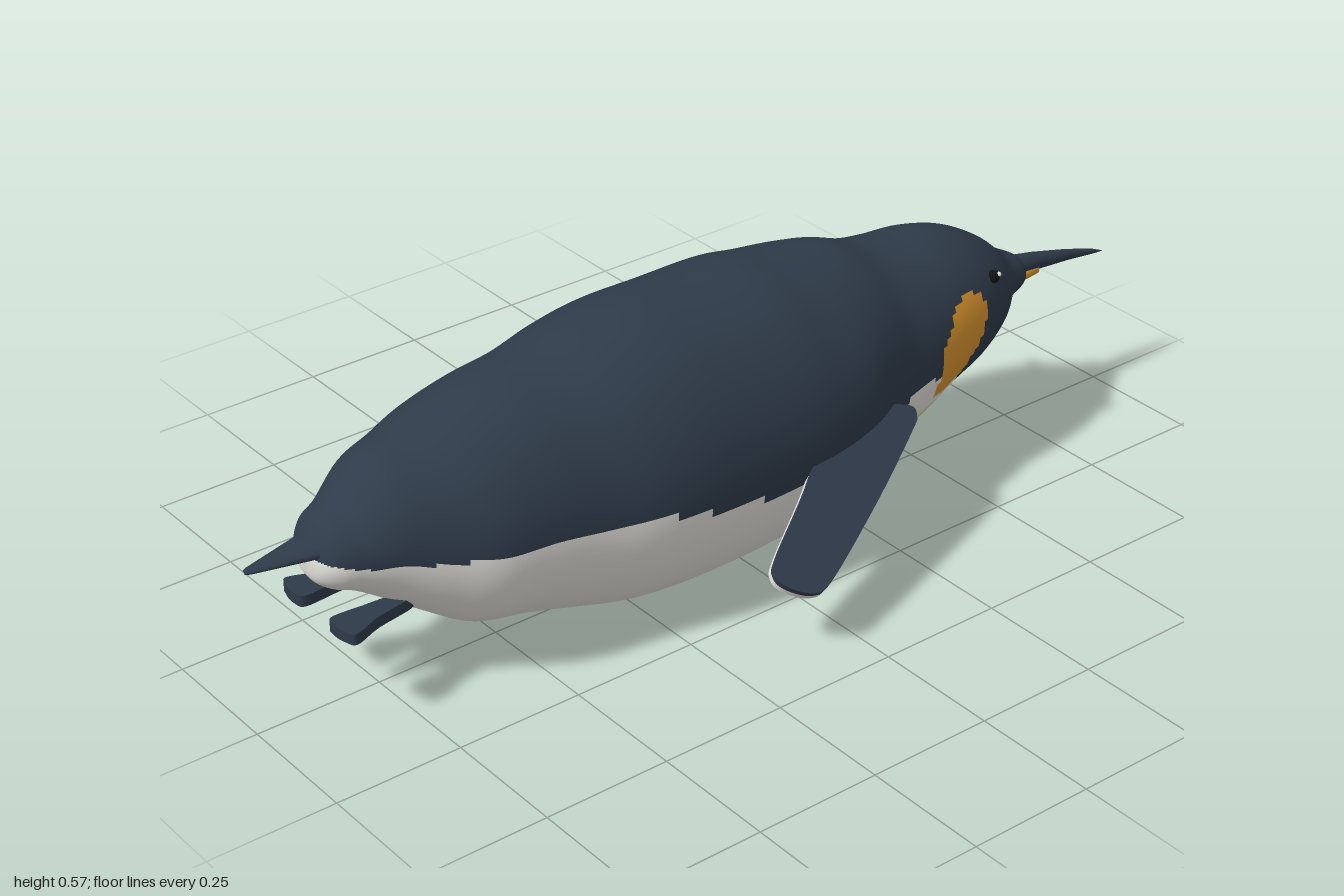
import * as THREE from 'three';

const material = (name, color, side = THREE.FrontSide) => {
  const m = new THREE.MeshStandardMaterial({ color, side });
  m.name = name;
  return m;
};

// Lofts elliptical rings [x, bottom, top, halfWidth]; pick(x, y, z) gives a material index per quad
function loft(rings, sides, pick = () => 0) {
  const position = [], groups = [];
  for (const [x, bottom, top, w] of rings) {
    for (let j = 0; j < sides; j++) {
      const a = (j / sides) * Math.PI * 2;
      position.push(x, (top + bottom) / 2 + ((top - bottom) / 2) * Math.cos(a), w * Math.sin(a));
    }
  }
  for (let i = 0; i < rings.length - 1; i++) {
    for (let j = 0; j < sides; j++) {
      const k = (j + 1) % sides;
      const a = i * sides + j, b = i * sides + k, c = a + sides, d = b + sides;
      const mid = [0, 1, 2].map(n => (position[a * 3 + n] + position[b * 3 + n] + position[c * 3 + n] + position[d * 3 + n]) / 4);
      const g = pick(...mid);
      (groups[g] ??= []).push(a, b, c, b, d, c);
    }
  }
  const geometry = new THREE.BufferGeometry();
  geometry.setAttribute('position', new THREE.Float32BufferAttribute(position, 3));
  const index = [];
  groups.forEach((list, g) => {
    geometry.addGroup(index.length, list.length, g);
    for (const v of list) index.push(v);
  });
  geometry.setIndex(index);
  geometry.computeVertexNormals();
  return geometry;
}

// Smooth rings through the key sections
function smoothRings(keys, count) {
  const heights = new THREE.CatmullRomCurve3(keys.map(k => new THREE.Vector3(k[0], k[1], k[2])), false, 'catmullrom', 0.5);
  const widths = new THREE.CatmullRomCurve3(keys.map(k => new THREE.Vector3(k[0], k[3], 0)), false, 'catmullrom', 0.5);
  return Array.from({ length: count + 1 }, (_, i) => {
    const h = heights.getPoint(i / count), w = widths.getPoint(i / count);
    return [h.x, h.y, h.z, Math.max(w.y, 0)];
  });
}

// Piecewise linear height along x
function heightAt(line, x) {
  for (let i = 1; i < line.length; i++) {
    const [x0, y0] = line[i - 1], [x1, y1] = line[i];
    if (x <= x1) return y0 + ((y1 - y0) * Math.max(0, x - x0)) / (x1 - x0);
  }
  return line[line.length - 1][1];
}

function inside(polygon, x, y) {
  let hit = false;
  polygon.forEach(([x0, y0], i) => {
    const [x1, y1] = polygon[(i + 1) % polygon.length];
    if ((y0 > y) !== (y1 > y) && x < ((x1 - x0) * (y - y0)) / (y1 - y0) + x0) hit = !hit;
  });
  return hit;
}

// Body sections from tail end to face
const BODY = [
  [-0.882, 0.305, 0.315, 0.005], [-0.875, 0.27, 0.345, 0.045], [-0.85, 0.247, 0.38, 0.075],
  [-0.81, 0.23, 0.40, 0.095], [-0.75, 0.19, 0.455, 0.125], [-0.68, 0.14, 0.475, 0.158],
  [-0.6, 0.09, 0.50, 0.192], [-0.5, 0.068, 0.523, 0.208], [-0.4, 0.04, 0.535, 0.222],
  [-0.3, 0.015, 0.557, 0.243], [-0.2, 0.004, 0.57, 0.252], [-0.08, 0.002, 0.57, 0.252],
  [0.05, 0.01, 0.57, 0.25], [0.13, 0.026, 0.558, 0.243], [0.21, 0.058, 0.548, 0.228],
  [0.28, 0.08, 0.537, 0.203], [0.35, 0.1, 0.514, 0.18], [0.42, 0.127, 0.503, 0.168],
  [0.5, 0.165, 0.497, 0.153], [0.58, 0.192, 0.476, 0.132], [0.65, 0.232, 0.437, 0.1],
  [0.7, 0.278, 0.395, 0.062], [0.74, 0.293, 0.372, 0.045], [0.76, 0.303, 0.357, 0.03],
  [0.767, 0.325, 0.335, 0.003],
];

// Plumage boundaries in side elevation
const FLANK = [[-0.9, 0.325], [-0.8, 0.305], [-0.6, 0.295], [-0.3, 0.288], [-0.2, 0.257], [-0.05, 0.237],
  [0.1, 0.235], [0.2, 0.25], [0.3, 0.268], [0.36, 0.28], [0.5, 0.28]];
const CHEEK = [[0.41, 0.235], [0.425, 0.335], [0.46, 0.393], [0.505, 0.417], [0.55, 0.393], [0.56, 0.355],
  [0.53, 0.295], [0.49, 0.24], [0.45, 0.23]];

function plumage(x, y) {
  if (inside(CHEEK, x, y)) return 2;
  if (x > 0.49 || y > heightAt(FLANK, x)) return 0;
  if (y < 0.21 && x > 0.25 + (y - 0.07) * 1.05) return 3;
  return 1;
}

function slab(points, depth, mat, name) {
  const shape = new THREE.Shape();
  shape.moveTo(...points[0]);
  shape.splineThru(points.slice(1).map(p => new THREE.Vector2(...p)));
  shape.closePath();
  const geometry = new THREE.ExtrudeGeometry(shape, { depth, bevelEnabled: false, curveSegments: 24 });
  geometry.rotateX(Math.PI / 2); // shape y becomes z, depth runs downward
  const mesh = new THREE.Mesh(geometry, mat);
  mesh.name = name;
  return mesh;
}

export function createModel() {
  const navy = material('navy feathers', 0x2f3b4a);
  const white = material('white belly', 0xe6e4de);
  const orange = material('orange', 0xdc962f);
  const cream = material('cream chest', 0xd6ca94);
  const black = material('eye black', 0x101216);

  const model = new THREE.Group();
  model.name = 'slidingPenguin';
  const add = (name, geometry, mat, parent = model) => {
    const mesh = new THREE.Mesh(geometry, mat);
    mesh.name = name;
    parent.add(mesh);
    return mesh;
  };

  add('body', loft(smoothRings(BODY, 168), 96, plumage), [navy, white, orange, cream]);

  // Beak: long upper half and short orange lower plate
  add('upperBeak', loft([[0.74, 0.312, 0.363, 0.022], [0.81, 0.312, 0.349, 0.018],
    [0.9, 0.304, 0.327, 0.011], [0.97, 0.295, 0.306, 0.006], [1, 0.292, 0.293, 0.001]], 16), navy);
  add('lowerBeak', loft([[0.74, 0.302, 0.34, 0.023], [0.78, 0.302, 0.335, 0.0215],
    [0.808, 0.305, 0.33, 0.0185], [0.815, 0.315, 0.322, 0.003]], 16), orange);

  // Tail: flat wedge
  add('tail', loft([[-1, 0.327, 0.333, 0.004], [-0.99, 0.325, 0.335, 0.01], [-0.87, 0.316, 0.346, 0.04],
    [-0.8, 0.31, 0.36, 0.05]], 16), navy);

  for (const side of [1, -1]) {
    const half = new THREE.Group();
    half.name = side > 0 ? 'leftSide' : 'rightSide';
    half.scale.z = side;
    model.add(half);

    // Flipper: dark upper layer over a pale lower layer
    const flipper = new THREE.Group();
    flipper.name = 'flipper';
    const outline = [[0.08, -0.01], [0.2, -0.025], [0.285, 0], [0.29, 0.025], [0.26, 0.05], [0.12, 0.14],
      [-0.05, 0.238], [-0.1, 0.25], [-0.145, 0.22], [-0.155, 0.19], [-0.13, 0.16], [0, 0.065], [0.08, -0.01]];
    flipper.add(slab(outline, 0.012, navy, 'flipperTop'));
    const under = slab(outline, 0.011, white, 'flipperUnderside');
    under.position.y = -0.012;
    flipper.add(under);
    flipper.position.set(0, 0.29, 0.22);
    flipper.rotation.x = 0.67;
    half.add(flipper);

    // Foot: small fan trailing behind
    const foot = slab([[-0.72, 0.05], [-0.8, 0.045], [-0.862, 0.042], [-0.872, 0.065], [-0.868, 0.095],
      [-0.855, 0.112], [-0.8, 0.092], [-0.72, 0.075], [-0.72, 0.05]], 0.022, navy, 'foot');
    foot.position.y = 0.207;
    half.add(foot);

    // Eye with a small glint
    const eye = add('eye', new THREE.SphereGeometry(0.013, 16, 12), black, half);
    eye.position.set(0.597, 0.408, 0.106);
    const glint = add('eyeGlint', new THREE.SphereGeometry(0.005, 10, 8), white, half);
    glint.position.set(0.604, 0.414, 0.114);
  }
  return model;
}
